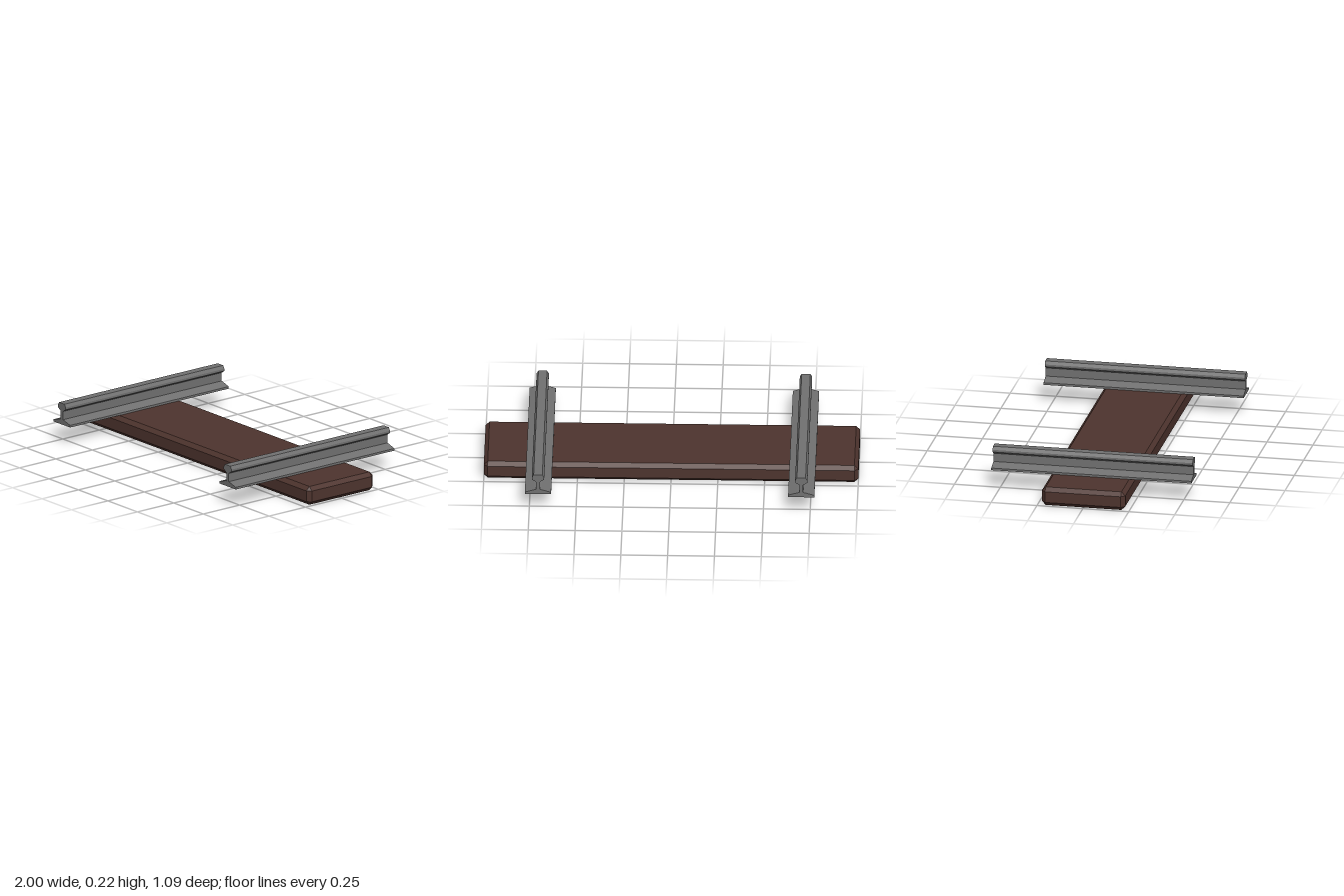
import * as THREE from 'three';
import { ConvexGeometry } from 'three/addons/geometries/ConvexGeometry.js';

// Box whose twelve edges are all cut by a flat chamfer
function chamferedBox(w, h, d, c) {
  const points = [];
  for (const sx of [-1, 1]) for (const sy of [-1, 1]) for (const sz of [-1, 1]) {
    const corner = [sx * w / 2, sy * h / 2, sz * d / 2];
    const signs = [sx, sy, sz];
    for (let axis = 0; axis < 3; axis++) {
      const p = corner.map((v, i) => (i === axis ? v : v - signs[i] * c));
      points.push(new THREE.Vector3(...p));
    }
  }
  return new ConvexGeometry(points);
}

// Rail section: foot, web and head, mirrored about its centre line
function railGeometry(length) {
  const half = [
    [0.07, 0], [0.07, 0.012], [0.02, 0.027], [0.01, 0.029],
    [0.01, 0.075], [0.033, 0.09], [0.033, 0.102], [0.023, 0.119],
  ];
  const outline = [...half, ...half.map(([x, y]) => [-x, y]).reverse()];
  const shape = new THREE.Shape(outline.map(([x, y]) => new THREE.Vector2(x, y)));
  return new THREE.ExtrudeGeometry(shape, { depth: length, bevelEnabled: false })
    .translate(0, 0, -length / 2);
}

export function createModel() {
  const wood = new THREE.MeshStandardMaterial({ name: 'dark wood', color: 0x4e342e });
  const steel = new THREE.MeshStandardMaterial({ name: 'grey steel', color: 0x717171 });
  const model = new THREE.Group();
  model.name = 'railTrackSegment';

  const sleeper = new THREE.Mesh(chamferedBox(2, 0.102, 0.454, 0.021), wood);
  sleeper.name = 'sleeper';
  sleeper.position.y = 0.051;
  model.add(sleeper);

  // Two rails resting on the sleeper
  const railShape = railGeometry(1.09);
  for (const [name, side] of [['leftRail', 1], ['rightRail', -1]]) {
    const rail = new THREE.Mesh(railShape, steel);
    rail.name = name;
    rail.position.set(side * 0.703, 0.102, 0);
    model.add(rail);
  }
  return model;
}
